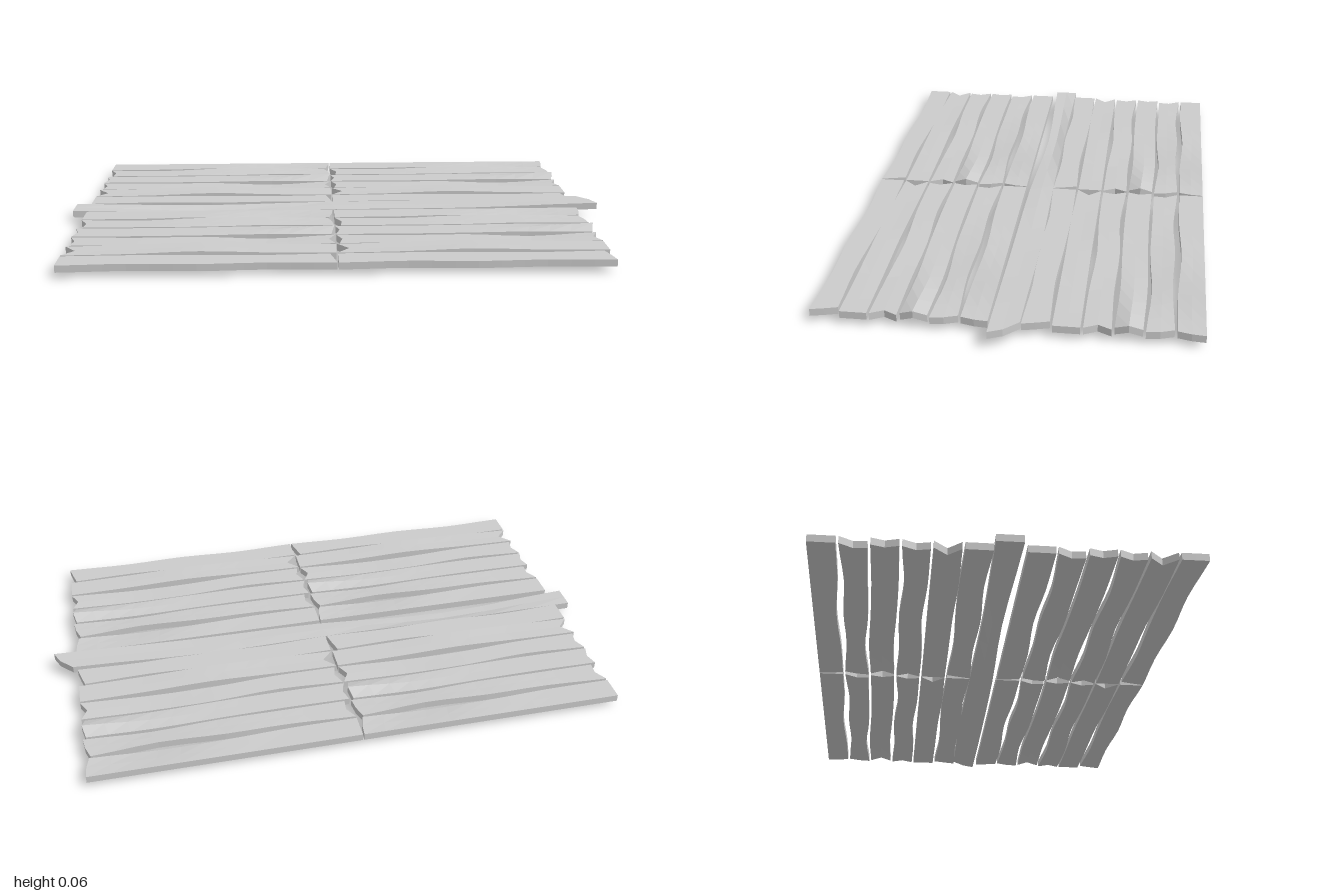
import * as THREE from 'three';

const material = new THREE.MeshStandardMaterial({ color: 0xcccccc, flatShading: true });
const FLAT = [0, 0, 0, 0, 0];

// Smooth value along the plank from five evenly spaced keys
const along = (keys, u) =>
  new THREE.SplineCurve(keys.map((v, i) => new THREE.Vector2(i, v))).getPoint(u).y;

// Warped plank. left/right: end insets at back, middle, front.
// back/front: edge waves in z; lift: height waves at back, middle, front.
function plank(name, x0, x1, z, { left, right, back = FLAT, front = FLAT, lift = [FLAT, FLAT, FLAT] }) {
  const width = 0.088, thickness = 0.025, baseY = 0.02;
  const geometry = new THREE.BoxGeometry(1, 1, 1, 12, 1, 2);
  const p = geometry.attributes.position;
  for (let i = 0; i < p.count; i++) {
    const u = p.getX(i) + 0.5, v = p.getZ(i) + 0.5, k = Math.round(v * 2);
    const zBack = -width / 2 + along(back, u);
    const zFront = width / 2 + along(front, u);
    p.setXYZ(i,
      THREE.MathUtils.lerp(x0 + left[k], x1 - right[k], u),
      baseY + (p.getY(i) + 0.5) * thickness + along(lift[k], u),
      z + THREE.MathUtils.lerp(zBack, zFront, v));
  }
  geometry.computeVertexNormals();
  const mesh = new THREE.Mesh(geometry, material);
  mesh.name = name;
  return mesh;
}

// Six plank shapes, ordered from back to front, repeated in every panel
const shapes = [
  { left: [0, 0, 0], right: [0, 0.004, 0.015],
    front: [0, 0, -0.01, 0, 0], lift: [FLAT, [0, 0, 0, -0.005, 0], [0, 0, 0, -0.011, 0]] },
  { left: [0, 0.025, 0.02], right: [0.02, 0.005, 0],
    back: [0, 0.012, 0.004, 0.01, 0], front: [0, 0, 0, -0.012, 0],
    lift: [[0, 0, 0.006, 0.008, 0], [0, 0, 0.003, 0.004, 0], FLAT] },
  { left: [0, 0.013, 0], right: [0.01, 0, 0.012],
    back: [0, 0.003, 0, -0.006, 0], front: [0, 0.003, 0, -0.006, 0],
    lift: [FLAT, [0, 0, 0, 0.004, 0.018], FLAT] },
  { left: [0, 0.02, 0.01], right: [0, 0.022, 0],
    back: [0, 0.012, 0, 0.006, 0], front: [0, 0, -0.01, 0, 0],
    lift: Array(3).fill([0, 0, -0.003, -0.01, 0]) },
  { left: [0, 0.04, 0], right: [0, 0, 0], front: [0, 0.004, 0, 0, 0],
    lift: Array(3).fill([0, 0.004, 0.01, 0.003, 0]) },
  { left: [0, 0, 0], right: [0.022, 0.01, 0],
    back: [0, -0.004, 0, 0.008, 0], front: [0, -0.01, 0, -0.008, 0] },
];

// Long plank lying between the two halves
const longShape = {
  left: [0, 0, 0], right: [0.065, 0.02, 0],
  back: [0, 0.005, 0, -0.006, 0], front: [0, -0.016, 0, 0.004, 0.006],
  lift: [[0, -0.008, 0, 0, 0.015], [0, -0.02, 0, 0, 0.015], [0, -0.02, -0.003, 0, 0.015]],
};

export function createModel() {
  const model = new THREE.Group();
  model.name = 'plankFloor';
  const pitch = 0.0965;

  // Four panels of six planks
  for (const [side, x0, x1] of [['right', -0.945, -0.015], ['left', -0.01, 0.92]]) {
    for (const [end, zStart] of [['Back', -0.581], ['Front', 0.094]]) {
      const panel = new THREE.Group();
      panel.name = `${side}${end}Panel`;
      shapes.forEach((shape, i) =>
        panel.add(plank(`plank${i + 1}`, x0, x1, zStart + i * pitch, shape)));
      model.add(panel);
    }
  }

  model.add(plank('longMiddlePlank', -1, 1, -0.01, longShape));
  return model;
}
